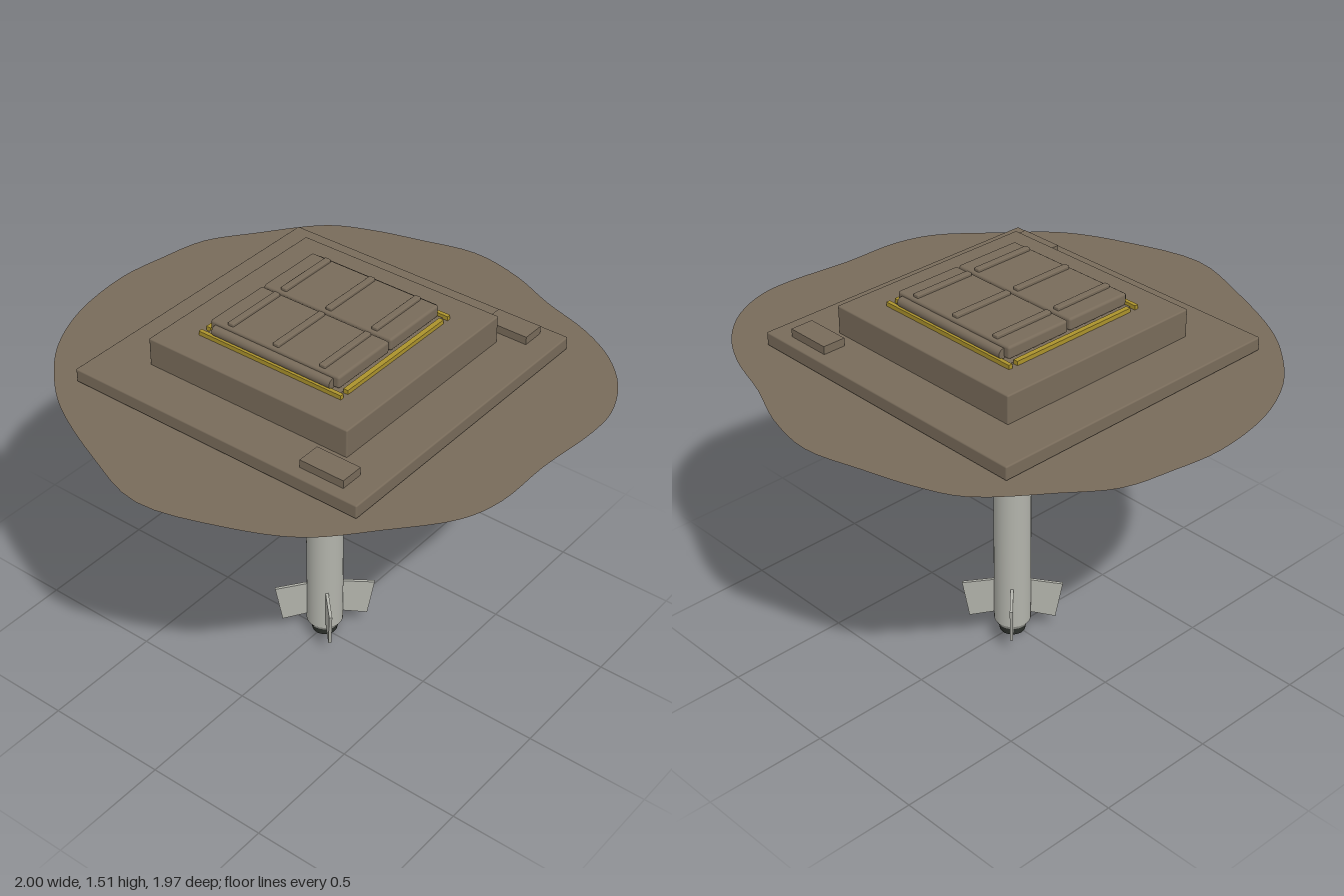
import * as THREE from 'three';
import { RoundedBoxGeometry } from 'three/addons/geometries/RoundedBoxGeometry.js';

export function createModel() {
  const root = new THREE.Group();
  root.name = 'missileSilo';
  const mat = (name, color, extra = {}) => {
    const m = new THREE.MeshStandardMaterial({ color, ...extra });
    m.name = name;
    return m;
  };
  const earth = mat('earthBrown', 0x786b5a, { side: THREE.DoubleSide });
  const grey = mat('paleGrey', 0xb2b3ab);
  const red = mat('bandRed', 0x8e2a2e);
  const dark = mat('darkGrey', 0x30342f);
  const yellow = mat('warningYellow', 0xab922c);
  const CX = 0.015;

  const add = (name, geo, material, parent = root) => {
    const m = new THREE.Mesh(geo, material);
    m.name = name;
    parent.add(m);
    return m;
  };
  // Box from its min and max on each axis
  const box = (name, x0, x1, y0, y1, z0, z1, material, r = 0) => {
    const size = [x1 - x0, y1 - y0, z1 - z0];
    const geo = r ? new RoundedBoxGeometry(...size, 2, r) : new THREE.BoxGeometry(...size);
    add(name, geo, material).position.set((x0 + x1) / 2, (y0 + y1) / 2, (z0 + z1) / 2);
  };

  // Irregular patch of ground, outlined as x, z
  const outline = [
    [0, -0.99], [0.2, -0.965], [0.4, -0.92], [0.57, -0.8], [0.8, -0.61], [0.88, -0.45], [0.94, -0.25],
    [0.995, -0.02], [0.955, 0.2], [0.87, 0.4], [0.795, 0.62], [0.7, 0.78], [0.57, 0.9], [0.41, 0.97],
    [0.27, 0.98], [0, 0.955], [-0.24, 0.95], [-0.4, 0.9], [-0.61, 0.73], [-0.8, 0.55], [-0.92, 0.31],
    [-1, 0], [-0.91, -0.28], [-0.77, -0.57], [-0.66, -0.71], [-0.5, -0.85], [-0.28, -0.95],
  ].map(([x, z]) => new THREE.Vector3(x, -z, 0));
  const curve = new THREE.CatmullRomCurve3(outline, true);
  const shape = new THREE.Shape(curve.getPoints(108).map((p) => new THREE.Vector2(p.x, p.y)));
  const ground = add('ground', new THREE.ShapeGeometry(shape), earth);
  ground.rotation.x = -Math.PI / 2;
  ground.position.y = 1.275;

  // Stepped concrete cover
  box('lowerSlab', -0.62, 0.647, 1.277, 1.332, -0.635, 0.632, earth, 0.006);
  box('upperSlab', -0.432, 0.46, 1.325, 1.443, -0.446, 0.446, earth, 0.006);
  box('hatchFrame', CX - 0.3, CX + 0.3, 1.44, 1.45, -0.3, 0.3, earth);
  for (const s of [-1, 1]) {
    const x = CX + s * 0.54;
    box('serviceBox', x - 0.047, x + 0.047, 1.33, 1.364, 0.355, 0.54, earth);
  }

  // Yellow edging and the hinge barrels over it
  for (const s of [-1, 1]) {
    box('endStripe', CX - 0.28, CX + 0.28, 1.443, 1.46, s * 0.31 - 0.01, s * 0.31 + 0.01, yellow);
    const x = CX + s * 0.312;
    box('sideStripe', x - 0.008, x + 0.008, 1.443, 1.46, -0.32, 0.32, yellow);
    const hinge = add('hinge', new THREE.CylinderGeometry(0.02, 0.02, 0.53, 16), earth);
    hinge.rotation.x = Math.PI / 2;
    hinge.position.set(CX + s * 0.295, 1.474, 0);
  }

  // Double hatch doors with three ribs each
  for (const s of [-1, 1]) {
    const x = CX + s * 0.1475;
    box('hatchDoor', x - 0.143, x + 0.143, 1.456, 1.506, -0.29, 0.29, earth, 0.01);
    for (const z of [-0.206, 0, 0.206])
      box('doorRib', x - 0.131, x + 0.131, 1.5, 1.518, z - 0.013, z + 0.013, earth, 0.004);
  }

  // Missile, turned in sections of radius, height
  const missile = new THREE.Group();
  missile.name = 'missile';
  missile.position.x = CX;
  root.add(missile);
  // Each straight run gets its own lathe so that the edges stay sharp
  const turned = (name, pts, material) => {
    for (let i = 0; i + 1 < pts.length; i++) {
      const pair = [pts[i], pts[i + 1]].map(([r, y]) => new THREE.Vector2(r, y));
      add(name, new THREE.LatheGeometry(pair, 32), material, missile);
    }
  };
  turned('nozzle', [[0, 0.004], [0.05, 0.004], [0.058, 0.038]], dark);
  turned('lowerBody', [[0, 0.038], [0.06, 0.038], [0.073, 0.058], [0.073, 0.715]], grey);
  turned('redBand', [[0.073, 0.715], [0.0755, 0.715], [0.0755, 0.77], [0.073, 0.77]], red);
  turned('upperBody', [[0.073, 0.77], [0.073, 1.13], [0.06, 1.228]], grey);
  turned('noseRing', [[0.06, 1.228], [0.062, 1.228], [0.06, 1.252], [0.058, 1.252]], dark);
  turned('nose', [[0.058, 1.252], [0.05, 1.271], [0, 1.273]], grey);

  // Four tail fins on the diagonals
  const finShape = new THREE.Shape(
    [[0.06, 0.088], [0.17, 0.066], [0.198, 0.222], [0.06, 0.242]].map((p) => new THREE.Vector2(...p)));
  const finGeo = new THREE.ExtrudeGeometry(finShape, { depth: 0.012, bevelEnabled: false });
  finGeo.translate(0, 0, -0.006);
  for (let i = 0; i < 4; i++)
    add('fin', finGeo, grey, missile).rotation.y = Math.PI / 4 + (i * Math.PI) / 2;

  return root;
}
